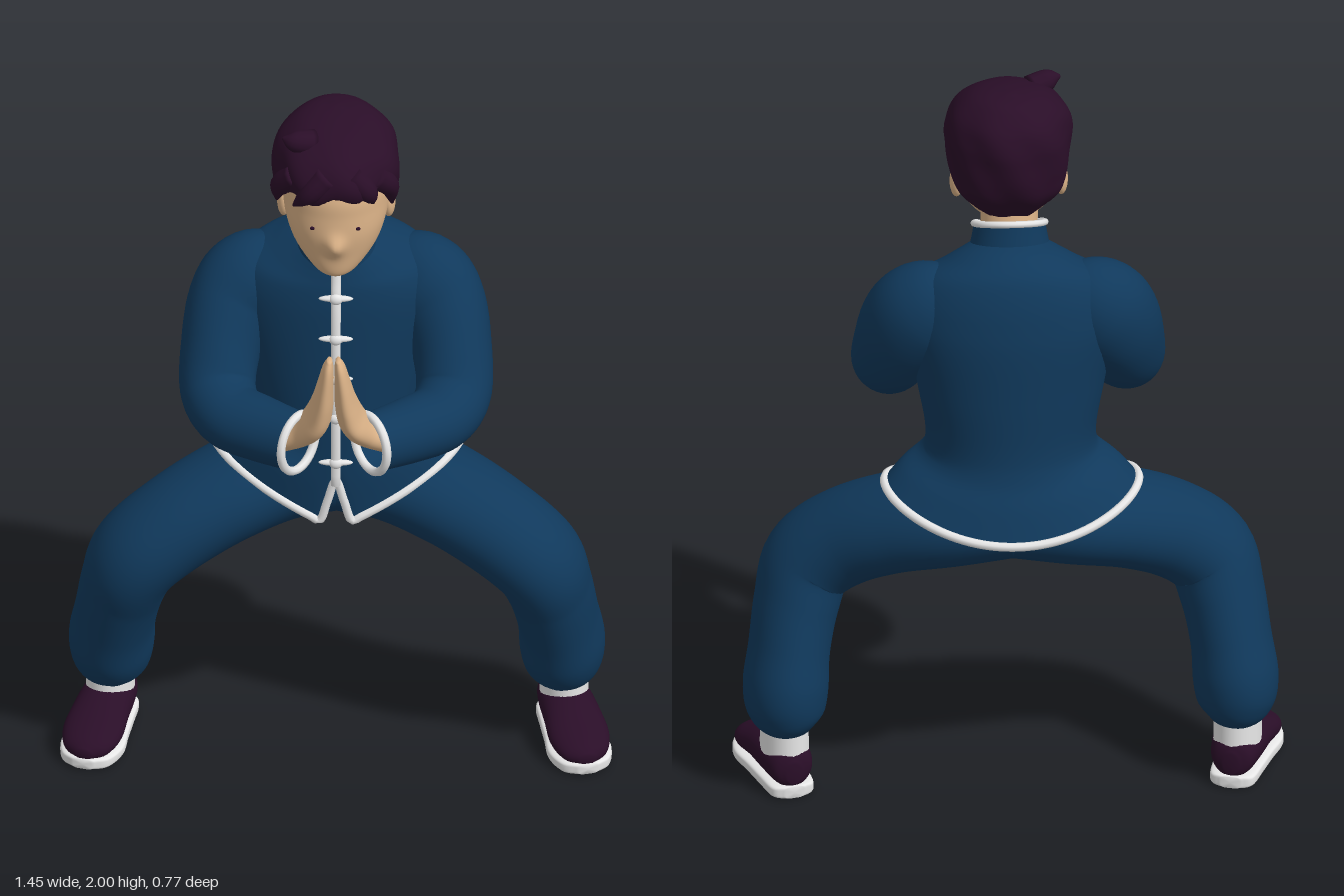
import * as THREE from 'three';

const mat = (name, color, side = THREE.FrontSide) => {
  const m = new THREE.MeshStandardMaterial({ color, side });
  m.name = name;
  return m;
};
const V3 = (x, y, z) => new THREE.Vector3(x, y, z);
const clamp = THREE.MathUtils.clamp;

// Smooth skin over oval sections [x, y, z, halfWidth, halfDepth].
// ref orients the ovals, axis fixes their direction, shape(p, cos, sin) adjusts each point.
function loft(sections, { ref = V3(0, 0, 1), axis, rows = 32, seg = 40, caps = true, pow = 1, shape } = {}) {
  const path = new THREE.CatmullRomCurve3(sections.map(s => V3(s[0], s[1], s[2])), false, 'catmullrom', 0.5);
  const size = new THREE.CatmullRomCurve3(sections.map(s => V3(s[3], s[4], 0)), false, 'catmullrom', 0.5);
  const round = v => Math.sign(v) * Math.abs(v) ** pow;
  const pos = [], index = [], rings = [];
  for (let i = 0; i <= rows; i++) {
    const t = i / rows, c = path.getPoint(t), r = size.getPoint(t);
    const T = axis || path.getTangent(t);
    const U = ref.clone().cross(T).normalize(), V = T.clone().cross(U).normalize();
    const ring = [];
    for (let j = 0; j < seg; j++) {
      const a = j / seg * Math.PI * 2, co = Math.cos(a), si = Math.sin(a);
      const p = c.clone().addScaledVector(U, r.x * round(co)).addScaledVector(V, r.y * round(si));
      if (shape) shape(p, co, si);
      ring.push(p);
      pos.push(p.x, p.y, p.z);
      if (i < rows) {
        const k = i * seg + j, n = i * seg + (j + 1) % seg;
        index.push(k, n, k + seg, n, n + seg, k + seg);
      }
    }
    rings.push(ring);
  }
  if (caps) [0, rows].forEach(i => {
    const mid = rings[i].reduce((s, p) => s.add(p), V3(0, 0, 0)).divideScalar(seg);
    const k = pos.length / 3;
    pos.push(mid.x, mid.y, mid.z);
    for (let j = 0; j < seg; j++) {
      const a = i * seg + j, b = i * seg + (j + 1) % seg;
      index.push(k, ...(i ? [a, b] : [b, a]));
    }
  });
  const geo = new THREE.BufferGeometry();
  geo.setAttribute('position', new THREE.Float32BufferAttribute(pos, 3));
  geo.setIndex(index);
  geo.computeVertexNormals();
  return { geo, first: rings[0], last: rings[rows] };
}

// Piping along a closed edge
const piping = (points, r) =>
  new THREE.TubeGeometry(new THREE.CatmullRomCurve3(points, true), points.length * 2, r, 8, true);

// Horizontal sections written as [y, halfWidth, frontZ, backZ]
const stack = list => list.map(([y, a, f, b]) => [0, y, (f + b) / 2, a, (f - b) / 2]);

export function createModel() {
  const navy = mat('navy cloth', 0x10395c, THREE.DoubleSide);
  const white = mat('white trim', 0xe6e6e6);
  const skin = mat('skin', 0xdcb388);
  const dark = mat('dark plum', 0x2a0e28);
  const model = new THREE.Group();
  model.name = 'bowingFigure';
  const up = V3(0, 1, 0);

  const add = (name, geo, material, parent = model) => {
    const m = new THREE.Mesh(geo, material);
    m.name = name;
    parent.add(m);
    return m;
  };
  const ball = (name, material, x, y, z, sx, sy, sz) => {
    const m = add(name, new THREE.SphereGeometry(1, 20, 14), material);
    m.position.set(x, y, z);
    m.scale.set(sx, sy, sz);
    return m;
  };

  // Jacket with a split, curved hem and a neckline higher at the back
  const hemY = (c, s) => {
    const k = Math.abs(c);
    if (s < 0) return 0.91 - 0.08 * s * s;
    return k < 0.13 ? 0.89 - k : 0.91 - 0.17 * (1 - k);
  };
  const jacket = loft(stack([
    [0.85, 0.335, 0.08, -0.385], [0.92, 0.29, 0.085, -0.35], [0.98, 0.238, 0.085, -0.315],
    [1.05, 0.225, 0.085, -0.3], [1.2, 0.25, 0.08, -0.295], [1.38, 0.28, 0.07, -0.285],
    [1.48, 0.25, 0.06, -0.25], [1.53, 0.17, 0.05, -0.2], [1.57, 0.1, 0.04, -0.13],
  ]), {
    axis: up, rows: 48, seg: 96, caps: false,
    shape: (p, c, s) => {
      p.y += clamp((1 - p.y) / 0.15, 0, 1) * (hemY(c, s) - 0.85);
      p.y -= clamp((p.y - 1.4) / 0.15, 0, 1) * 0.35 * (p.z + 0.06);
    },
  });
  add('jacket', jacket.geo, navy);
  add('hemTrim', piping(jacket.first, 0.012), white);

  // Stand-up collar
  const collar = loft(stack([[1.54, 0.108, 0.048, -0.14], [1.58, 0.1, 0.045, -0.13], [1.615, 0.094, 0.045, -0.122]]), {
    axis: up, rows: 8, seg: 48, caps: false,
    shape: (p, c, s) => { p.y -= 0.45 * (p.z + 0.04) + 0.035 * Math.max(0, s) ** 4 * clamp((p.y - 1.54) / 0.07, 0, 1); },
  });
  add('collar', collar.geo, navy);
  add('collarTrim', piping(collar.last, 0.009), white);

  // Front placket and knotted fastenings
  const front = [[1.55, 0.045], [1.497, 0.055], [1.458, 0.064], [1.38, 0.074], [1.2, 0.085], [1.05, 0.09], [0.88, 0.09]];
  add('placket', loft(front.map(([y, z]) => [0, y, z, 0.013, 0.009]), { axis: V3(0, -1, 0), seg: 12 }).geo, white);
  [[1.45, 0.066], [1.33, 0.076], [1.21, 0.083], [1.09, 0.088], [0.95, 0.088]].forEach(([y, z]) => {
    ball('fastening', white, 0, y, z, 0.046, 0.009, 0.011);
    ball('fasteningKnot', white, 0, y, z + 0.004, 0.018, 0.016, 0.013);
  });

  // Neck and head with a slight nose
  add('neck', loft([[0, 1.5, -0.05, 0.08, 0.075], [0, 1.6, -0.025, 0.075, 0.07], [0, 1.7, 0, 0.08, 0.075]], { axis: up }).geo, skin);
  add('head', loft(stack([
    [1.565, 0.025, 0.135, 0.07], [1.585, 0.06, 0.156, 0.02], [1.64, 0.106, 0.164, -0.05], [1.7, 0.13, 0.172, -0.09],
    [1.76, 0.14, 0.17, -0.12], [1.82, 0.14, 0.165, -0.13], [1.9, 0.12, 0.13, -0.12], [1.95, 0.06, 0.06, -0.07],
  ]), {
    axis: up, rows: 56, seg: 72,
    shape: (p, c, s) => { if (s > 0) p.z += 0.024 * Math.exp(-((p.x / 0.024) ** 2) - ((p.y - 1.68) / 0.03) ** 2); },
  }).geo, skin);

  // Hair cap: fringe in front, low at the nape, gently waved
  add('hair', loft(stack([
    [1.64, 0.06, 0, -0.07], [1.67, 0.095, 0.02, -0.095], [1.72, 0.135, 0.06, -0.135], [1.77, 0.157, 0.16, -0.155],
    [1.83, 0.166, 0.2, -0.163], [1.88, 0.166, 0.206, -0.165], [1.93, 0.15, 0.175, -0.152],
    [1.97, 0.11, 0.11, -0.12], [1.99, 0.065, 0.04, -0.09], [1.998, 0.01, -0.02, -0.04],
  ]), {
    axis: up, rows: 54, seg: 90,
    shape: (p, c, s) => {
      const x = -c, a = Math.atan2(s, c);
      const hem = s > 0
        ? 1.75 + 0.085 * Math.min(1, s * 1.5) + 0.02 * s * x + 0.012 * Math.sin(a * 9)
        : 1.75 - 0.11 * Math.min(1, -s * 1.4);
      const k = 1 + 0.02 * Math.sin(a * 7 + p.y * 24) * clamp((2 - p.y) / 0.1, 0, 1);
      p.x *= k;
      p.z *= k;
      p.y = Math.max(p.y, hem);
    },
  }).geo, dark);
  // Loose locks [from, middle, to]
  [
    [[-0.06, 1.95, 0.08], [-0.11, 1.965, 0.1], [-0.14, 1.975, 0.1]],
    [[-0.1, 1.88, 0.13], [-0.145, 1.83, 0.1], [-0.155, 1.77, 0.08]],
    [[0.1, 1.88, 0.13], [0.14, 1.83, 0.1], [0.148, 1.75, 0.06]],
    [[-0.02, 1.9, 0.17], [-0.07, 1.85, 0.18], [-0.11, 1.8, 0.155]],
    [[0.04, 1.9, 0.16], [0.085, 1.85, 0.165], [0.1, 1.8, 0.14]],
  ].forEach(([a, b, c]) =>
    add('hairLock', loft([[...a, 0.035, 0.035], [...b, 0.028, 0.028], [...c, 0.004, 0.004]], { rows: 10, seg: 12 }).geo, dark));

  for (const s of [1, -1]) {
    const side = s > 0 ? 'left' : 'right';
    const flip = list => list.map(([x, ...rest]) => [s * x, ...rest]);

    // Ear and eye
    ball(side + 'Ear', skin, s * 0.138, 1.72, 0.005, 0.018, 0.045, 0.03);
    ball(side + 'Eye', dark, s * 0.06, 1.73, 0.158, 0.007, 0.005, 0.004);

    // Sleeve, bent at the elbow
    const sleeve = loft(flip([
      [0.14, 1.43, -0.12, 0.08, 0.1], [0.22, 1.405, -0.11, 0.115, 0.13], [0.275, 1.34, -0.08, 0.115, 0.13],
      [0.305, 1.24, -0.01, 0.105, 0.12], [0.31, 1.165, 0.07, 0.1, 0.1], [0.275, 1.137, 0.15, 0.095, 0.09],
      [0.2, 1.135, 0.21, 0.09, 0.086], [0.095, 1.14, 0.285, 0.076, 0.08],
    ]), { ref: up, rows: 48, caps: false });
    add(side + 'Sleeve', sleeve.geo, navy);
    add(side + 'CuffTrim', piping(sleeve.last, 0.012), white);

    // Hand pressed against the other, with thumb
    add(side + 'Hand', loft(flip([
      [0.14, 1.13, 0.25, 0.035, 0.04], [0.085, 1.165, 0.268, 0.036, 0.05], [0.048, 1.22, 0.292, 0.036, 0.068],
      [0.032, 1.28, 0.312, 0.03, 0.06], [0.023, 1.35, 0.33, 0.022, 0.045], [0.016, 1.41, 0.342, 0.015, 0.03],
      [0.011, 1.44, 0.346, 0.007, 0.013],
    ])).geo, skin);
    add(side + 'Thumb', loft(flip([
      [0.04, 1.22, 0.26, 0.022, 0.025], [0.026, 1.28, 0.248, 0.02, 0.02],
      [0.018, 1.325, 0.245, 0.016, 0.017], [0.014, 1.345, 0.246, 0.006, 0.007],
    ]), { rows: 14, seg: 16 }).geo, skin);

    // Trouser leg, wide squat, gathered at the ankle
    add(side + 'TrouserLeg', loft(flip([
      [-0.02, 0.82, -0.14, 0.12, 0.17], [0.15, 0.79, -0.125, 0.125, 0.165], [0.3, 0.745, -0.07, 0.125, 0.16],
      [0.43, 0.68, -0.02, 0.125, 0.15], [0.525, 0.6, 0, 0.122, 0.15], [0.56, 0.5, -0.03, 0.113, 0.145],
      [0.582, 0.38, -0.07, 0.108, 0.145], [0.593, 0.28, -0.1, 0.113, 0.147], [0.59, 0.21, -0.115, 0.1, 0.125],
      [0.585, 0.165, -0.12, 0.06, 0.08],
    ]), { rows: 60, seg: 44 }).geo, navy);

    // Foot: sock, slipper and sole, turned outwards
    const foot = new THREE.Group();
    foot.name = side + 'Foot';
    foot.position.set(s * 0.62, 0, -0.04);
    foot.rotation.y = s * 0.27;
    model.add(foot);
    const sock = add('sock', new THREE.CylinderGeometry(0.062, 0.064, 0.09, 28), white, foot);
    sock.position.set(0, 0.135, -0.085);
    sock.scale.z = 1.25;
    add('slipper', loft([
      [0, 0.07, -0.172, 0.02, 0.03], [0, 0.08, -0.15, 0.055, 0.055], [0, 0.085, -0.08, 0.07, 0.06],
      [0, 0.08, 0, 0.076, 0.054], [0, 0.062, 0.08, 0.08, 0.042], [0, 0.05, 0.14, 0.06, 0.03], [0, 0.045, 0.168, 0.02, 0.014],
    ], { ref: up, axis: V3(0, 0, 1) }).geo, dark, foot);
    add('sole', loft([
      [0, 0.018, -0.176, 0.025, 0.016], [0, 0.018, -0.155, 0.058, 0.018], [0, 0.018, -0.08, 0.068, 0.018],
      [0, 0.018, 0, 0.076, 0.018], [0, 0.018, 0.08, 0.085, 0.018], [0, 0.018, 0.145, 0.065, 0.018], [0, 0.02, 0.174, 0.025, 0.014],
    ], { ref: up, axis: V3(0, 0, 1), pow: 0.45 }).geo, white, foot);
  }
  return model;
}
